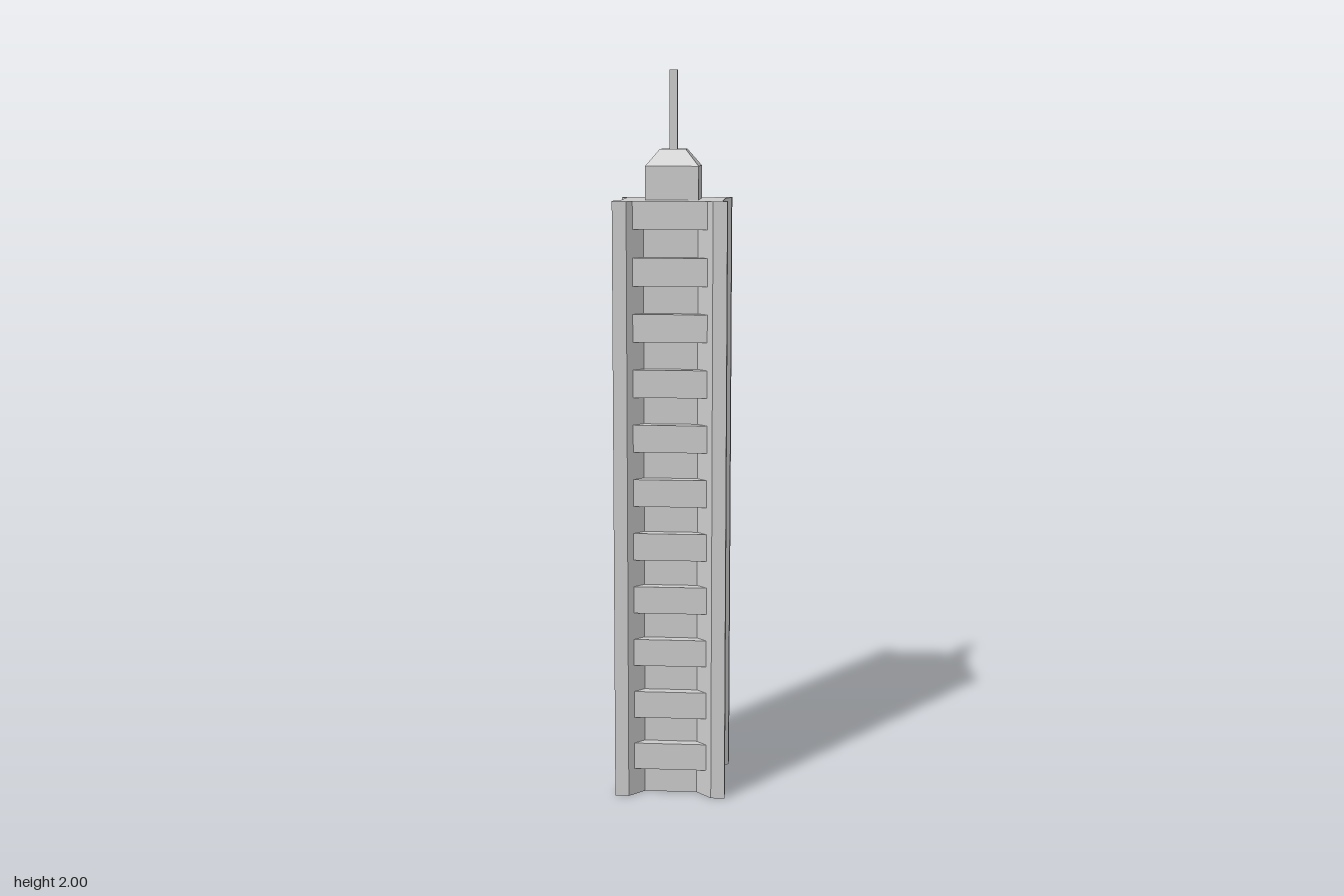
import * as THREE from 'three';

const HEIGHT = 1.655;  // shaft height
const FLOORS = 11;

export function createModel() {
  const group = new THREE.Group();
  const material = new THREE.MeshStandardMaterial({ color: 0xcccccc, flatShading: true });

  const add = (name, geometry, y = 0, parent = group) => {
    const mesh = new THREE.Mesh(geometry, material);
    mesh.name = name;
    mesh.position.y = y;
    parent.add(mesh);
    return mesh;
  };

  // Extrude a plan outline upwards
  const prism = (points, height) => {
    const shape = new THREE.Shape(points.map(([x, y]) => new THREE.Vector2(x, y)));
    const geometry = new THREE.ExtrudeGeometry(shape, { depth: height, bevelEnabled: false });
    return geometry.rotateX(-Math.PI / 2);
  };

  // Shaft: square corner posts with a bevelled recess on each side
  const corner = [[0.111, 0.073], [0.153, 0.115], [0.153, 0.153], [0.115, 0.153], [0.073, 0.111]];
  const plan = [];
  for (let i = 0; i < 4; i++) {
    for (const [x, y] of corner) {
      const p = new THREE.Vector2(x, y).rotateAround(new THREE.Vector2(), i * Math.PI / 2);
      plan.push([p.x, p.y]);
    }
  }
  add('shaft', prism(plan, HEIGHT));

  // Ledges: a wedge-ended band per floor filling the recess on every side
  const floor = HEIGHT / FLOORS;
  const ledge = prism([[-0.073, -0.111], [-0.1, -0.138], [0.1, -0.138], [0.073, -0.111]], floor / 2);
  for (let side = 0; side < 4; side++) {
    const ledges = new THREE.Group();
    ledges.name = 'ledges' + ['Front', 'Left', 'Back', 'Right'][side];
    ledges.rotation.y = side * Math.PI / 2;
    for (let i = 0; i < FLOORS; i++) add('ledge', ledge, (i + 0.5) * floor, ledges);
    group.add(ledges);
  }

  // Crown: square block, hipped roof and mast
  add('crownBlock', new THREE.BoxGeometry(0.144, 0.09, 0.144), HEIGHT + 0.045);
  const roof = new THREE.CylinderGeometry(0.035 * Math.SQRT2, 0.072 * Math.SQRT2, 0.045, 4);
  add('crownRoof', roof.rotateY(Math.PI / 4), 1.7675);
  add('mast', new THREE.BoxGeometry(0.022, 0.21, 0.022), 1.895);

  return group;
}
